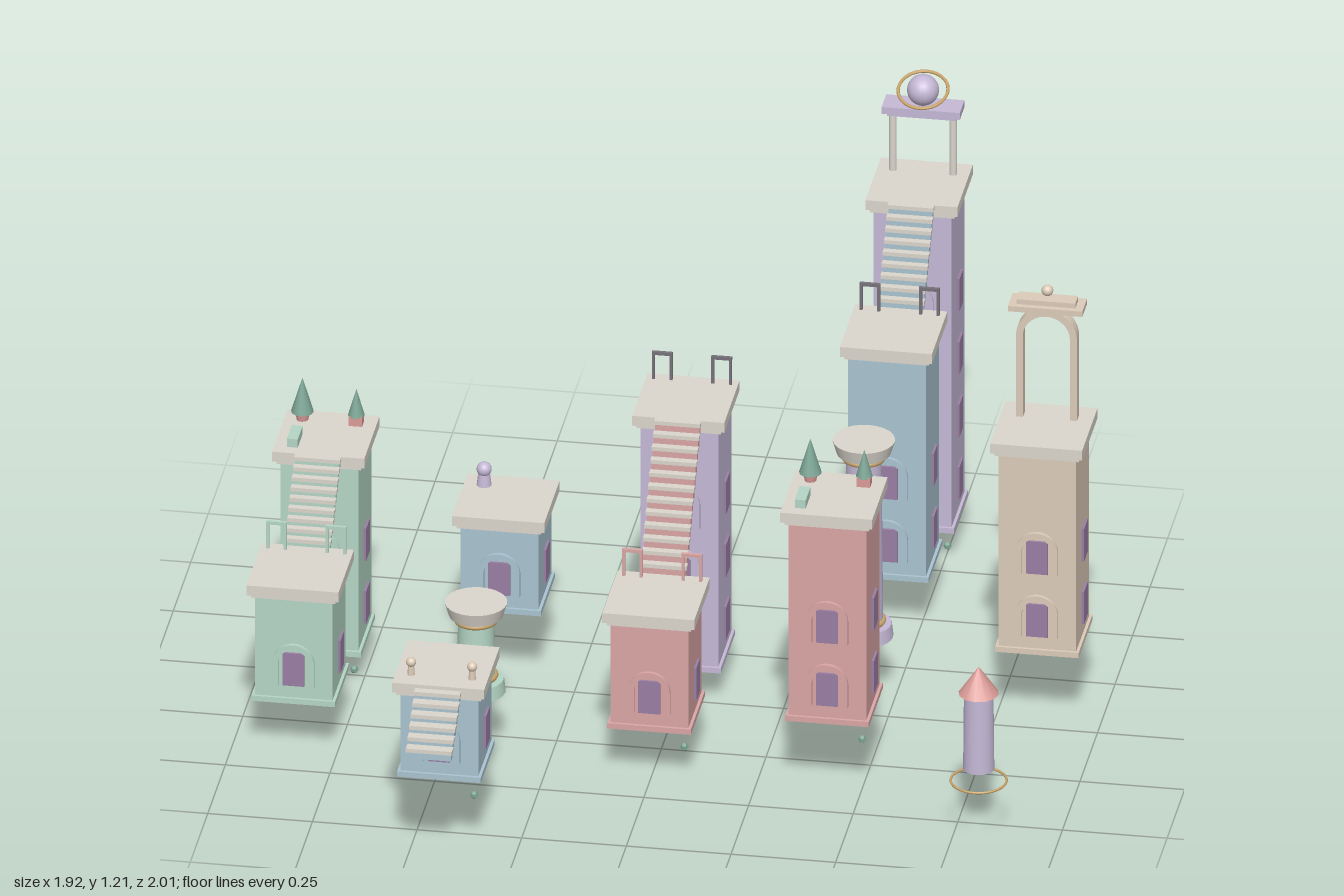
import * as THREE from 'three';

const mat = (color) => new THREE.MeshStandardMaterial({ color, side: THREE.DoubleSide });
const M = {
  green: mat(0xb5d6c6), blue: mat(0xa9c4d0), red: mat(0xdba6a6), purple: mat(0xc5b9d6), beige: mat(0xdccbb8),
  stone: mat(0xdbd6cd), pane: mat(0x9a7fa3), leaf: mat(0x7ba594), gold: mat(0xc9a468), roofRed: mat(0xdb9c97), iron: mat(0x77727a),
};

function add(parent, name, geo, material, x = 0, y = 0, z = 0) {
  const m = new THREE.Mesh(geo, material);
  m.name = name;
  m.position.set(x, y, z);
  parent.add(m);
  return m;
}
const box = (p, name, w, h, d, m, x, y, z) => add(p, name, new THREE.BoxGeometry(w, h, d), m, x, y, z);
const cyl = (p, name, rt, rb, h, m, x, y, z, n = 24) => add(p, name, new THREE.CylinderGeometry(rt, rb, h, n), m, x, y, z);
const ball = (p, name, r, m, x, y, z) => add(p, name, new THREE.SphereGeometry(r, 20, 14), m, x, y, z);

// Flat band in the form of an upside-down U, feet at y = 0
function archGeometry(outer, inner, spring, depth) {
  const s = new THREE.Shape();
  s.moveTo(outer, 0);
  s.lineTo(outer, spring);
  s.absarc(0, spring, outer, 0, Math.PI, false);
  s.lineTo(-outer, 0);
  s.lineTo(-inner, 0);
  s.lineTo(-inner, spring);
  s.absarc(0, spring, inner, Math.PI, 0, true);
  s.lineTo(inner, 0);
  const g = new THREE.ExtrudeGeometry(s, { depth, bevelEnabled: false, curveSegments: 12 });
  return g.translate(0, 0, -depth / 2);
}

// Square tower with base, roof slab and windows on its front and left
function tower(root, name, color, x, z, bottom, top, rows) {
  const g = new THREE.Group();
  g.name = name;
  g.position.set(x, 0, z);
  root.add(g);
  const m = M[color], W = 0.186;
  box(g, 'walls', W, top - bottom - 0.03, W, m, 0, (top + bottom) / 2 - 0.01, 0);
  box(g, 'base', 0.2, 0.014, 0.2, m, 0, bottom + 0.007, 0);
  box(g, 'cornice', 0.202, 0.01, 0.202, M.stone, 0, top - 0.031, 0);
  box(g, 'roofSlab', 0.22, 0.026, 0.22, M.stone, 0, top - 0.013, 0);
  for (let i = 0; i < rows; i++) {
    const y = bottom + 0.09 + i * 0.167;
    box(g, 'frontWindow', 0.052, 0.086, 0.012, M.pane, 0, y, W / 2);
    add(g, 'windowArch', archGeometry(0.05, 0.036, 0.06, 0.018), m, 0, y - 0.043, W / 2);
    box(g, 'sideWindow', 0.012, 0.086, 0.052, M.pane, W / 2, y, -0.01);
  }
  return g;
}

// Stairs running along z from (z0, y0) up to (z1, y1)
function stairs(root, color, x, z0, y0, z1, y1, n) {
  const g = new THREE.Group();
  g.name = 'stairs';
  root.add(g);
  const run = (z1 - z0) / n, rise = (y1 - y0) / n;
  for (let i = 0; i < n; i++) {
    const z = z0 + run * (i + 0.5), y = y0 + rise * (i + 1);
    box(g, 'tread', 0.11, 0.01, Math.abs(run) * 1.15, M.stone, x, y - 0.005, z);
    box(g, 'riser', 0.106, rise, Math.abs(run), M[color], x, y - 0.008 - rise / 2, z);
  }
}

// Pair of small hoop rails at the back edge of a roof
function rails(g, top, m) {
  for (const s of [-1, 1]) {
    for (const e of [-1, 1]) box(g, 'railPost', 0.007, 0.07, 0.007, m, s * 0.071 + e * 0.021, top + 0.035, -0.087);
    box(g, 'railBar', 0.049, 0.008, 0.008, m, s * 0.071, top + 0.068, -0.087);
  }
}

// Two potted cone trees and a hedge on a roof
function roofGarden(g, top) {
  cyl(g, 'treePot', 0.018, 0.014, 0.025, M.roofRed, -0.067, top + 0.0125, -0.065, 12);
  add(g, 'tallTree', new THREE.ConeGeometry(0.027, 0.09, 12), M.leaf, -0.067, top + 0.066, -0.065);
  box(g, 'squarePot', 0.032, 0.024, 0.032, M.roofRed, 0.062, top + 0.012, -0.065);
  add(g, 'smallTree', new THREE.ConeGeometry(0.02, 0.07, 12), M.leaf, 0.062, top + 0.057, -0.065);
  box(g, 'hedge', 0.026, 0.022, 0.07, M.green, -0.067, top + 0.011, 0.045);
}

// Small stone floating beneath a tower
function pebble(g, bottom) {
  add(g, 'floatingStone', new THREE.DodecahedronGeometry(0.01), M.leaf, 0.073, bottom - 0.07, 0.03);
}

// Round column with wide base, gilded rings and capital
function column(root, color, x, z, bottom, top) {
  const g = new THREE.Group();
  g.name = 'column';
  g.position.set(x, 0, z);
  root.add(g);
  cyl(g, 'columnBase', 0.066, 0.07, 0.034, M[color], 0, bottom + 0.017, 0);
  cyl(g, 'shaft', 0.042, 0.046, top - bottom - 0.05, M[color], 0, (top + bottom) / 2, 0);
  cyl(g, 'capital', 0.074, 0.064, 0.034, M.stone, 0, top - 0.017, 0);
  for (const y of [bottom + 0.042, top - 0.045]) {
    add(g, 'ring', new THREE.TorusGeometry(0.046, 0.007, 8, 28), M.gold, 0, y, 0).rotation.x = Math.PI / 2;
  }
}

export function createModel() {
  const root = new THREE.Group();
  root.name = 'towerGarden';
  const LOW = 0.454, HIGH = 0.758;
  const b0 = 0.085, b1 = 0.143, b2 = 0.2;

  // Green pair
  const greenBack = tower(root, 'greenBackTower', 'green', -0.85, -0.04, b0, 0.62, 2);
  const greenFront = tower(root, 'greenFrontTower', 'green', -0.85, 0.327, b1, LOW, 1);
  stairs(root, 'green', -0.85, 0.22, LOW, 0.07, 0.62, 9);
  roofGarden(greenBack, 0.62);
  rails(greenFront, LOW, M.green);
  pebble(greenBack, b0);

  // Single blue houses
  const blueBack = tower(root, 'blueBackHouse', 'blue', -0.43, -0.1, b2, LOW, 1);
  cyl(blueBack, 'finialFoot', 0.014, 0.018, 0.03, M.purple, -0.062, LOW + 0.015, -0.06, 12);
  ball(blueBack, 'finialBall', 0.018, M.purple, -0.062, LOW + 0.042, -0.06);
  const blueFront = tower(root, 'blueFrontHouse', 'blue', -0.43, 0.757, b2, LOW, 1);
  for (const s of [-1, 1]) {
    cyl(blueFront, 'lampPost', 0.007, 0.009, 0.025, M.beige, s * 0.073, LOW + 0.0125, 0.06, 12);
    ball(blueFront, 'lampBall', 0.012, M.beige, s * 0.073, LOW + 0.033, 0.06);
  }
  stairs(root, 'blue', -0.43, 1.0, 0.335, 0.862, 0.445, 6);
  pebble(blueFront, b2);

  // Purple and red pair
  const purpleMid = tower(root, 'purpleMiddleTower', 'purple', 0, -0.1, b0, HIGH, 3);
  const redLow = tower(root, 'redLowTower', 'red', 0, 0.327, b1, LOW, 1);
  stairs(root, 'red', 0, 0.22, LOW, 0.008, HIGH, 12);
  rails(purpleMid, HIGH, M.iron);
  rails(redLow, LOW, M.red);
  pebble(redLow, b1);

  // Tall red tower
  const redTall = tower(root, 'redTallTower', 'red', 0.425, 0.327, b2, HIGH, 2);
  roofGarden(redTall, HIGH);
  pebble(redTall, b2);

  // Blue and purple pair
  const blueTall = tower(root, 'blueTallTower', 'blue', 0.425, -0.525, b1, HIGH, 2);
  rails(blueTall, HIGH, M.iron);
  stairs(root, 'blue', 0.425, -0.632, HIGH, -0.782, 0.96, 9);
  const purpleTall = tower(root, 'purpleTallTower', 'purple', 0.425, -0.89, b0, 0.96, 4);
  pebble(purpleTall, b0);

  // Gate with ringed globe
  for (const s of [-1, 1]) cyl(purpleTall, 'gatePost', 0.009, 0.009, 0.16, M.stone, s * 0.072, 1.04, -0.055, 12);
  box(purpleTall, 'gateLintel', 0.165, 0.012, 0.04, M.purple, 0, 1.118, -0.055);
  box(purpleTall, 'gateCap', 0.187, 0.018, 0.066, M.purple, 0, 1.132, -0.055);
  ball(purpleTall, 'globe', 0.038, M.purple, 0, 1.178, -0.055);
  add(purpleTall, 'globeRing', new THREE.TorusGeometry(0.059, 0.004, 8, 40), M.gold, 0, 1.178, -0.055).rotation.x = Math.PI / 2 + 0.36;

  // Beige tower with arch
  const beige = tower(root, 'beigeTower', 'beige', 0.855, -0.1, b2, HIGH, 2);
  add(beige, 'roofArch', archGeometry(0.073, 0.056, 0.215, 0.03), M.beige, 0, HIGH, -0.052);
  box(beige, 'archLintel', 0.178, 0.014, 0.068, M.beige, 0, 1.053, -0.052);
  box(beige, 'archCap', 0.14, 0.013, 0.04, M.beige, 0, 1.066, -0.052);
  ball(beige, 'archBall', 0.014, M.beige, 0, 1.092, -0.052);

  // Free columns
  column(root, 'purple', 0.425, -0.1, 0.165, 0.685);
  column(root, 'green', -0.43, 0.327, 0.165, 0.4);

  // Little floating turret with hoop
  const turret = new THREE.Group();
  turret.name = 'turret';
  turret.position.set(0.81, 0, 0.56);
  root.add(turret);
  cyl(turret, 'turretWall', 0.035, 0.037, 0.205, M.purple, 0, 0.288, 0);
  add(turret, 'turretRoof', new THREE.ConeGeometry(0.048, 0.07, 12), M.roofRed, 0, 0.42, 0);
  add(turret, 'turretHoop', new THREE.TorusGeometry(0.066, 0.003, 8, 40), M.gold, 0, 0.153, 0).rotation.x = Math.PI / 2;

  return root;
}
